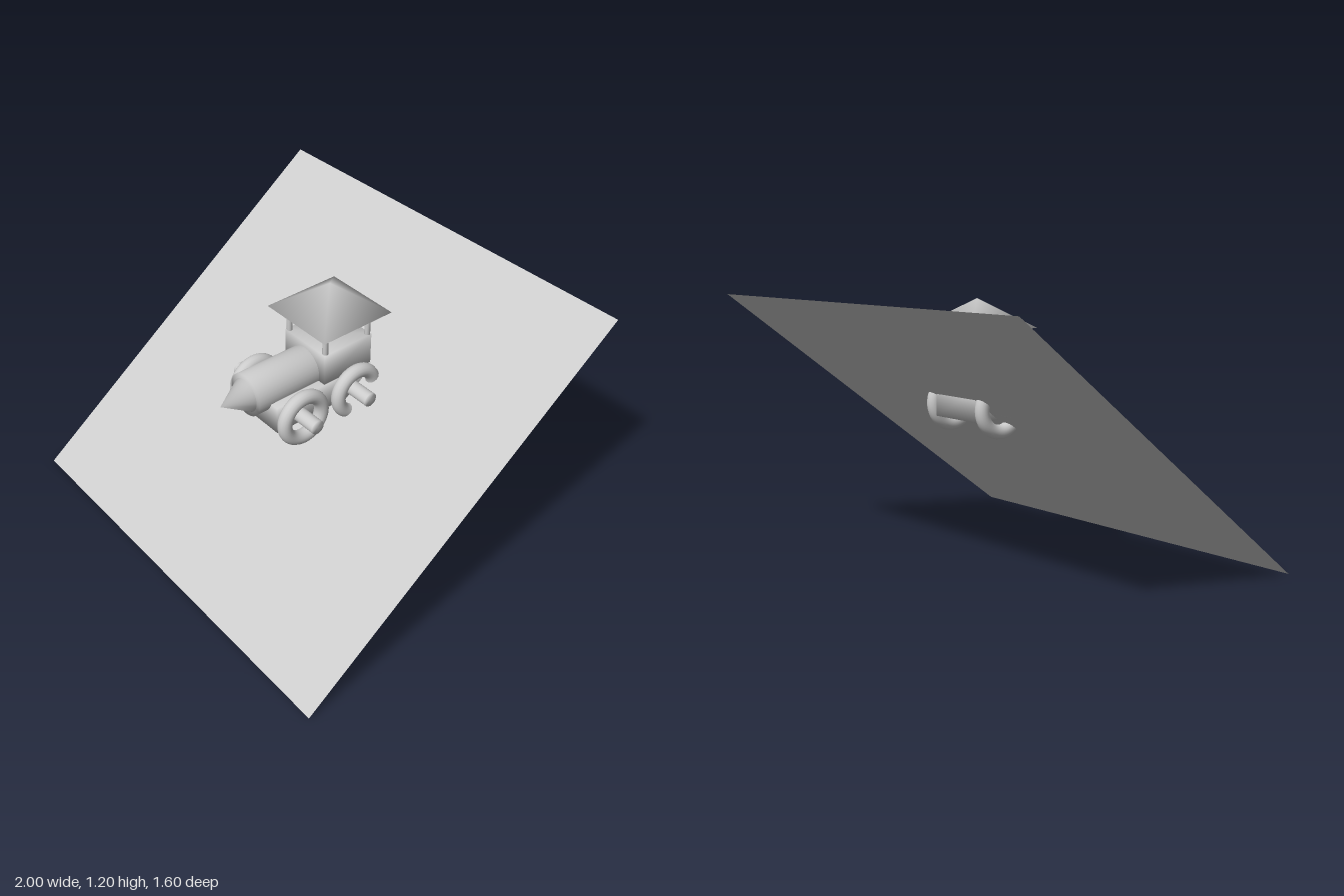
import * as THREE from 'three';
import { mergeVertices } from 'three/addons/utils/BufferGeometryUtils.js';

const material = new THREE.MeshStandardMaterial({ color: 0xcccccc });
const sheetMaterial = new THREE.MeshStandardMaterial({ color: 0xcccccc, side: THREE.DoubleSide });

// Weld all corners so that shading flows softly over every edge
function soften(geometry) {
  geometry.deleteAttribute('normal');
  geometry.deleteAttribute('uv');
  const welded = mergeVertices(geometry, 1e-4);
  welded.computeVertexNormals();
  return welded;
}

export function createModel() {
  const model = new THREE.Group();
  const cx = 0.05; // centre line of the engine

  function add(parent, name, geometry, x, y, z, mat = material) {
    const mesh = new THREE.Mesh(geometry, mat);
    mesh.name = name;
    mesh.position.set(x, y, z);
    parent.add(mesh);
    return mesh;
  }

  // Sloping ground sheet, high at the back
  const sheet = add(model, 'groundSheet', new THREE.PlaneGeometry(2, 2), 0, 0.6, 0, sheetMaterial);
  sheet.rotation.x = -Math.atan2(0.8, 0.6);

  const engine = new THREE.Group();
  engine.name = 'engine';
  model.add(engine);

  // Chassis and cab
  add(engine, 'chassis', soften(new THREE.BoxGeometry(0.268, 0.13, 0.523)), cx, 0.735, 0.036);
  add(engine, 'cab', soften(new THREE.BoxGeometry(0.264, 0.149, 0.264)), cx, 0.8745, -0.094);

  // Boiler and pointed nose
  const boiler = new THREE.CylinderGeometry(0.098, 0.098, 0.36, 32).rotateX(Math.PI / 2);
  add(engine, 'boiler', soften(boiler), cx, 0.825, 0.18);
  const nose = new THREE.ConeGeometry(0.077, 0.13, 32).rotateX(Math.PI / 2);
  add(engine, 'nose', soften(nose), cx, 0.825, 0.425);

  // Roof posts
  for (const x of [-0.119, 0.119]) {
    for (const z of [0.024, -0.213]) {
      const post = new THREE.CylinderGeometry(0.013, 0.013, 0.15, 16);
      add(engine, 'roofPost', soften(post), cx + x, 1.005, z);
    }
  }

  // Four-sided roof
  const roof = new THREE.ConeGeometry(0.375 / Math.SQRT2, 0.13, 4).rotateY(Math.PI / 4);
  add(engine, 'roof', soften(roof), cx + 0.003, 1.13, -0.096);

  // Axles with a ring wheel on each side
  for (const z of [0.185, -0.111]) {
    const axle = new THREE.CylinderGeometry(0.033, 0.033, 0.542, 24).rotateZ(Math.PI / 2);
    add(engine, 'axle', soften(axle), 0.043, 0.724, z);
    for (const side of [-1, 1]) {
      const wheel = new THREE.TorusGeometry(0.1, 0.032, 16, 48).rotateY(Math.PI / 2);
      add(engine, 'wheel', wheel, 0.052 + side * 0.167, 0.722, z);
    }
  }

  return model;
}
